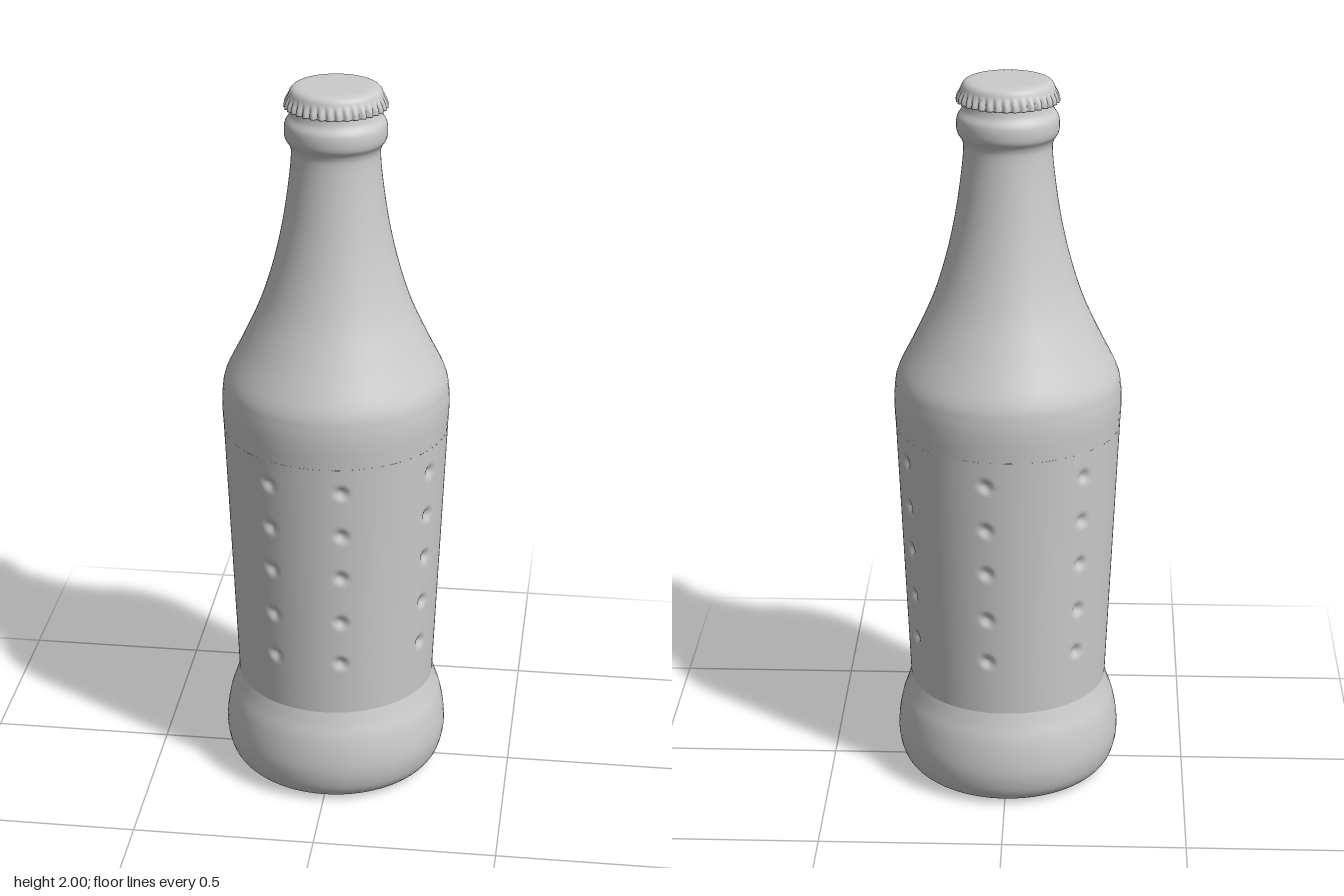
import * as THREE from 'three';
import { mergeVertices } from 'three/addons/utils/BufferGeometryUtils.js';

const material = new THREE.MeshStandardMaterial({ color: 0xcccccc, side: THREE.DoubleSide });

// Smooth profile curve through [radius, height] points
function profile(points, divisions) {
  return new THREE.SplineCurve(points.map(([r, y]) => new THREE.Vector2(r, y))).getPoints(divisions);
}

function turned(name, points, segments = 64) {
  const mesh = new THREE.Mesh(new THREE.LatheGeometry(points, segments), material);
  mesh.name = name;
  return mesh;
}

// Weld the lathe seam and recompute normals after moving vertices by a rule
function reshape(mesh, rule) {
  let geo = mesh.geometry;
  geo.deleteAttribute('uv');
  geo.deleteAttribute('normal');
  const pos = geo.attributes.position;
  for (let i = 0; i < pos.count; i++) {
    const x = pos.getX(i), y = pos.getY(i), z = pos.getZ(i);
    const r = Math.hypot(x, z);
    if (r < 1e-5) continue;
    const angle = Math.atan2(x, z);
    const newR = rule(angle, y, r);
    pos.setXYZ(i, Math.sin(angle) * newR, y, Math.cos(angle) * newR);
  }
  geo = mergeVertices(geo, 1e-5);
  geo.computeVertexNormals();
  mesh.geometry = geo;
  return mesh;
}

// Rounded foot with a hollow underside
function makeBase() {
  const group = new THREE.Group();
  group.name = 'base';
  group.add(turned('hollowUnderside', [
    new THREE.Vector2(0, 0.07),
    ...profile([[0.09, 0.07], [0.12, 0.06], [0.17, 0.03], [0.215, 0.008], [0.24, 0]], 16),
  ]));
  group.add(turned('foot', profile([
    [0.24, 0], [0.272, 0.01], [0.298, 0.04], [0.311, 0.09], [0.311, 0.14],
    [0.301, 0.2], [0.286, 0.245], [0.275, 0.28],
  ], 32)));
  return group;
}

// Tapered grip with seven columns of dimples
function makeBody() {
  const rows = [0.44, 0.57, 0.71, 0.84, 0.97];
  const columns = Array.from({ length: 7 }, (_, k) => THREE.MathUtils.degToRad(10 + 53.5 * k));
  const size = 0.026, depth = 0.012;
  const points = [];
  for (let i = 0; i <= 96; i++) {
    const y = 0.28 + (0.76 * i) / 96;
    points.push(new THREE.Vector2(0.275 + (0.032 * (y - 0.28)) / 0.76, y));
  }
  return reshape(turned('dimpledBody', points, 224), (angle, y, r) => {
    let dent = 0;
    for (const c of columns) {
      const turn = Math.atan2(Math.sin(angle - c), Math.cos(angle - c));
      for (const row of rows) {
        const d = Math.hypot(turn * r, y - row) / size;
        if (d < 1) dent = Math.max(dent, depth * (0.5 + 0.5 * Math.cos(Math.PI * d)));
      }
    }
    return r - dent;
  });
}

// Shoulder sweeping up into the neck and its collar
function makeNeck() {
  return turned('shoulderAndNeck', profile([
    [0.307, 1.04], [0.31, 1.1], [0.308, 1.15], [0.297, 1.2], [0.25, 1.295], [0.203, 1.4],
    [0.168, 1.51], [0.143, 1.62], [0.126, 1.73], [0.118, 1.81], [0.121, 1.838],
    [0.133, 1.858], [0.136, 1.88], [0.133, 1.902], [0.121, 1.922], [0.116, 1.945], [0.112, 1.98],
  ], 96));
}

// Crown cap with a fluted skirt
function makeCap() {
  const flutes = 36;
  const points = [
    new THREE.Vector2(0.116, 1.948),
    ...profile([[0.131, 1.943], [0.13, 1.952], [0.127, 1.965], [0.124, 1.976],
      [0.119, 1.988], [0.109, 1.996], [0.09, 1.999]], 20),
    new THREE.Vector2(0, 2),
  ];
  return reshape(turned('crownCap', points, flutes * 8), (angle, y, r) => {
    if (r < 0.118) return r;
    const fade = THREE.MathUtils.clamp((1.978 - y) / 0.02, 0, 1);
    return r + fade * (0.009 * Math.abs(Math.cos((angle * flutes) / 2)) - 0.003);
  });
}

export function createModel() {
  const model = new THREE.Group();
  model.name = 'bottle';
  model.add(makeBase(), makeBody(), makeNeck(), makeCap());
  return model;
}
